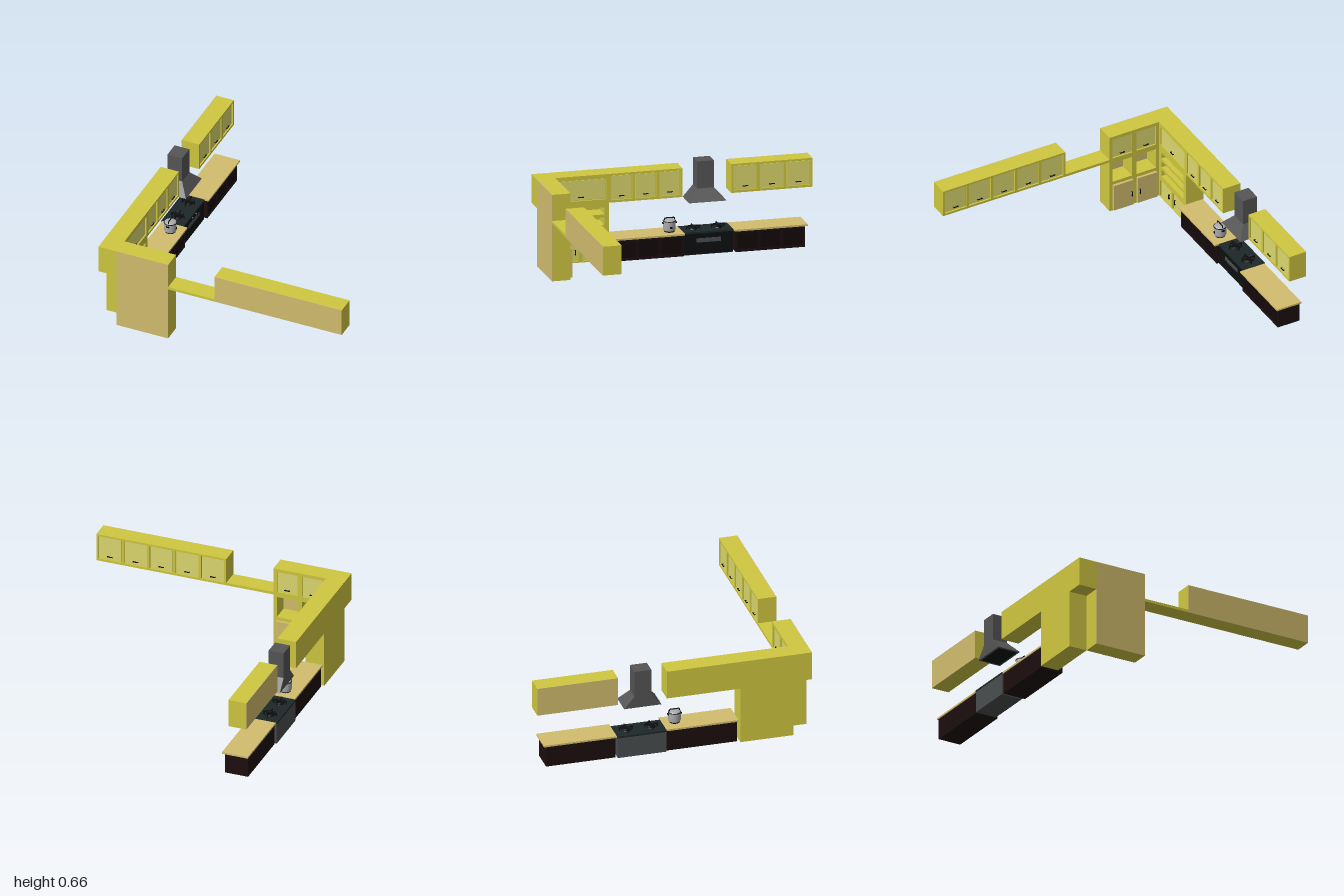
import * as THREE from 'three';

const mat = (color) => new THREE.MeshStandardMaterial({ color });
const YELLOW = mat(0xcfc740), PALE = mat(0xdcd86f), TAN = mat(0xd2bd6d), BROWN = mat(0x1c0d0e),
  DARK = mat(0x120809), BLACK = mat(0x0c0f10), GLASS = mat(0x1d2829), STEEL = mat(0x555555),
  SILVER = mat(0xaaaaaa), GREY = mat(0x4a4d4e);

function add(parent, name, geo, material, x = 0, y = 0, z = 0) {
  const m = new THREE.Mesh(geo, material);
  m.name = name;
  m.position.set(x, y, z);
  parent.add(m);
  return m;
}

// Box given by its two opposite corners
function box(parent, name, material, x0, x1, y0, y1, z0, z1) {
  return add(parent, name, new THREE.BoxGeometry(x1 - x0, y1 - y0, z1 - z0), material,
    (x0 + x1) / 2, (y0 + y1) / 2, (z0 + z1) / 2);
}

// Flat rectangle with rectangular holes [x0, x1, y0, y1], extruded along z
function frame(parent, name, material, [x0, x1, y0, y1], holes, z0, z1) {
  const loop = (P, a, b, c, d) => {
    const p = new P();
    p.moveTo(a, c); p.lineTo(b, c); p.lineTo(b, d); p.lineTo(a, d); p.closePath();
    return p;
  };
  const s = loop(THREE.Shape, x0, x1, y0, y1);
  for (const h of holes) s.holes.push(loop(THREE.Path, ...h));
  return add(parent, name, new THREE.ExtrudeGeometry(s, { depth: z1 - z0, bevelEnabled: false }), material, 0, 0, z0);
}

// Bar handle on two posts
function handle(parent, x, y, z, vertical = false, len = 0.04) {
  const g = new THREE.Group();
  g.name = 'handle';
  g.position.set(x, y, z);
  if (vertical) g.rotation.z = Math.PI / 2;
  box(g, 'handleBar', BLACK, -len / 2, len / 2, -0.003, 0.003, 0.007, 0.012);
  for (const s of [-1, 1]) {
    const p = s * (len / 2 - 0.004);
    box(g, 'handlePost', BLACK, p - 0.002, p + 0.002, -0.002, 0.002, 0, 0.008);
  }
  parent.add(g);
}

// Cabinet facing local +z: face frame, recessed doors, open niches, back board
function cabinet(parent, name, rect, z0, z1, doors, niches = [], opt = {}) {
  const { body = YELLOW, back = YELLOW, panel = PALE, inset = 0.012 } = opt;
  const g = new THREE.Group();
  g.name = name;
  parent.add(g);
  const [x0, x1, y0, y1] = rect;
  box(g, 'backBoard', back, x0, x1, y0, y1, z0, z0 + 0.006);
  frame(g, 'carcass', body, rect, niches, z0 + 0.006, z1 - inset);
  frame(g, 'faceFrame', body, rect, [...doors, ...niches], z1 - inset, z1);
  for (const [a, b, c, d] of doors)
    box(g, 'doorPanel', panel, a + 0.004, b - 0.004, c + 0.004, d - 0.004, z1 - inset, z1 - inset + 0.004);
  return g;
}

// Row of equal doors across a rectangle
function doorRow(x0, x1, y0, y1, n, gap) {
  const w = (x1 - x0) / n;
  return Array.from({ length: n }, (_, i) => [x0 + i * w + gap, x0 + (i + 1) * w - gap, y0, y1]);
}

function upperCabinet(parent, name, x0, x1, z0, z1, n, back) {
  const doors = doorRow(x0 + 0.005, x1 - 0.005, 0.437, 0.615, n, 0.01);
  const g = cabinet(parent, name, [x0, x1, 0.42, 0.63], z0, z1, doors, [], { back });
  for (const d of doors) handle(g, (d[0] + d[1]) / 2, 0.465, z1 - 0.008);
}

function baseCabinet(parent, x0, x1, t0, t1) {
  const doors = doorRow(x0 + 0.005, x1 - 0.005, 0.02, 0.145, 3, 0.008);
  const g = cabinet(parent, 'baseCabinet', [x0, x1, 0.003, 0.157], -0.92, -0.745, doors, [],
    { body: BROWN, back: BROWN, panel: DARK, inset: 0.005 });
  for (const d of doors) handle(g, (d[0] + d[1]) / 2, 0.13, -0.741, true, 0.025);
  box(g, 'countertop', TAN, t0, t1, 0.157, 0.17, -0.925, -0.73);
}

function stove(parent) {
  const g = new THREE.Group();
  g.name = 'stove';
  parent.add(g);
  box(g, 'ovenBody', GREY, 0.06, 0.412, 0, 0.155, -0.93, -0.768);
  box(g, 'ovenDoor', BLACK, 0.06, 0.412, 0.004, 0.155, -0.768, -0.762);
  box(g, 'ovenWindow', GREY, 0.15, 0.325, 0.09, 0.12, -0.763, -0.759);
  box(g, 'cooktop', GLASS, 0.057, 0.415, 0.155, 0.168, -0.932, -0.76);
  for (const x of [0.212, 0.268])
    add(g, 'knob', new THREE.CylinderGeometry(0.009, 0.009, 0.012, 16), BLACK, x, 0.142, -0.756).rotation.x = Math.PI / 2;
  for (const x of [0.147, 0.328]) {
    add(g, 'burner', new THREE.CylinderGeometry(0.025, 0.032, 0.014, 20), BLACK, x, 0.175, -0.845);
    add(g, 'burnerRing', new THREE.TorusGeometry(0.04, 0.004, 6, 24), BLACK, x, 0.183, -0.845).rotation.x = Math.PI / 2;
    for (let i = 0; i < 4; i++) {
      const arm = new THREE.Group();
      arm.name = 'potSupport';
      arm.position.set(x, 0, -0.845);
      arm.rotation.y = i * Math.PI / 2;
      box(arm, 'supportBar', BLACK, 0.018, 0.051, 0.186, 0.194, -0.003, 0.003);
      box(arm, 'supportLeg', BLACK, 0.046, 0.051, 0.168, 0.19, -0.003, 0.003);
      g.add(arm);
    }
  }
}

function hood(parent) {
  const g = new THREE.Group();
  g.name = 'rangeHood';
  parent.add(g);
  box(g, 'chimney', STEEL, 0.17, 0.293, 0.465, 0.662, -0.935, -0.822);
  // Canopy: box whose top is pulled in to the chimney outline
  const c = new THREE.BoxGeometry(0.272, 0.085, 0.175).toNonIndexed();
  const p = c.attributes.position;
  for (let i = 0; i < p.count; i++) {
    if (p.getY(i) < 0) continue;
    p.setX(i, p.getX(i) * 0.453);
    if (p.getZ(i) > 0) p.setZ(i, -0.0875 + 0.113);
  }
  c.computeVertexNormals();
  add(g, 'canopy', c, STEEL, 0.232, 0.4225, -0.8475);
  box(g, 'filter', BLACK, 0.115, 0.349, 0.377, 0.382, -0.92, -0.775);
}

function cooker(parent) {
  const g = new THREE.Group();
  g.name = 'riceCooker';
  g.position.set(-0.032, 0.17, -0.82);
  parent.add(g);
  add(g, 'cookerFoot', new THREE.CylinderGeometry(0.04, 0.037, 0.01, 28), BLACK, 0, 0.005, 0);
  const profile = [[0, 0.008], [0.04, 0.008], [0.044, 0.016], [0.044, 0.078], [0.04, 0.083], [0.03, 0.09], [0, 0.093]];
  add(g, 'cookerBody', new THREE.LatheGeometry(profile.map(([r, y]) => new THREE.Vector2(r, y)), 28), SILVER);
  add(g, 'lidRim', new THREE.TorusGeometry(0.044, 0.003, 8, 28), BLACK, 0, 0.078, 0).rotation.x = Math.PI / 2;
  const path = new THREE.CatmullRomCurve3([[-0.036, 0.08], [-0.035, 0.1], [0.035, 0.1], [0.036, 0.08]]
    .map(([x, y]) => new THREE.Vector3(x, y, 0)), false, 'catmullrom', 0.1);
  add(g, 'carryHandle', new THREE.TubeGeometry(path, 24, 0.004, 8), BLACK);
  for (const s of [-1, 1]) box(g, 'sideGrip', BLACK, s * 0.047 - 0.005, s * 0.047 + 0.005, 0.06, 0.068, -0.012, 0.012);
  box(g, 'switchPanel', BLACK, -0.008, 0.008, 0.03, 0.045, 0.04, 0.047);
}

export function createModel() {
  const root = new THREE.Group();
  root.name = 'kitchen';

  // Side run facing +x: local x = -z of the room, local z = x of the room
  const side = new THREE.Group();
  side.name = 'sideRun';
  side.rotation.y = Math.PI / 2;
  root.add(side);
  upperCabinet(side, 'farUpperCabinet', 0.412, 1, -0.935, -0.8, 3, TAN);
  upperCabinet(side, 'nearUpperCabinet', -0.478, 0.057, -0.935, -0.795, 3, YELLOW);
  baseCabinet(side, 0.428, 0.932, 0.418, 0.948);
  baseCabinet(side, -0.458, 0.053, -0.468, 0.057);
  stove(side);
  hood(side);
  cooker(side);

  // Tall cabinet of the side run with three shelf niches
  const shelves = [[0.188, 0.241], [0.263, 0.316], [0.338, 0.39]].map(([a, b]) => [-0.83, -0.51, a, b]);
  const lower = [[-0.85, -0.695, 0.008, 0.143], [-0.67, -0.487, 0.008, 0.143]];
  const tall = cabinet(side, 'sideTallCabinet', [-0.865, -0.478, 0, 0.63], -0.935, -0.795,
    [[-0.845, -0.497, 0.448, 0.6], ...lower], shelves);
  handle(tall, -0.68, 0.475, -0.803);
  for (const x of [-0.722, -0.642]) handle(tall, x, 0.075, -0.803, true);
  box(side, 'cornerUpperCabinet', YELLOW, -1, -0.865, 0.42, 0.63, -0.935, -0.795);

  // Front run facing -z: local x = -x of the room, local z = -z of the room
  const front = new THREE.Group();
  front.name = 'frontRun';
  front.rotation.y = Math.PI;
  root.add(front);
  upperCabinet(front, 'longUpperCabinet', -0.932, 0.045, -1, -0.865, 5, TAN);
  box(front, 'bridgeShelf', YELLOW, 0.045, 0.4, 0.42, 0.44, -1, -0.865);

  const columns = [[0.425, 0.58], [0.615, 0.77]];
  const tops = columns.map(([a, b]) => [a, b, 0.445, 0.605]);
  const niches = columns.map(([a, b]) => [a, b, 0.245, 0.405]);
  const frontTall = cabinet(front, 'frontTallCabinet', [0.4, 0.795, 0, 0.63], -1, -0.865, tops, niches, { back: TAN });
  columns.forEach(([a, b], i) => {
    handle(frontTall, (a + b) / 2, 0.47, -0.873);
    box(frontTall, 'lowerDoor', TAN, a, b, 0.01, 0.22, -0.865, -0.845);
    handle(frontTall, i ? a + 0.015 : b - 0.015, 0.11, -0.845, true);
  });
  return root;
}
